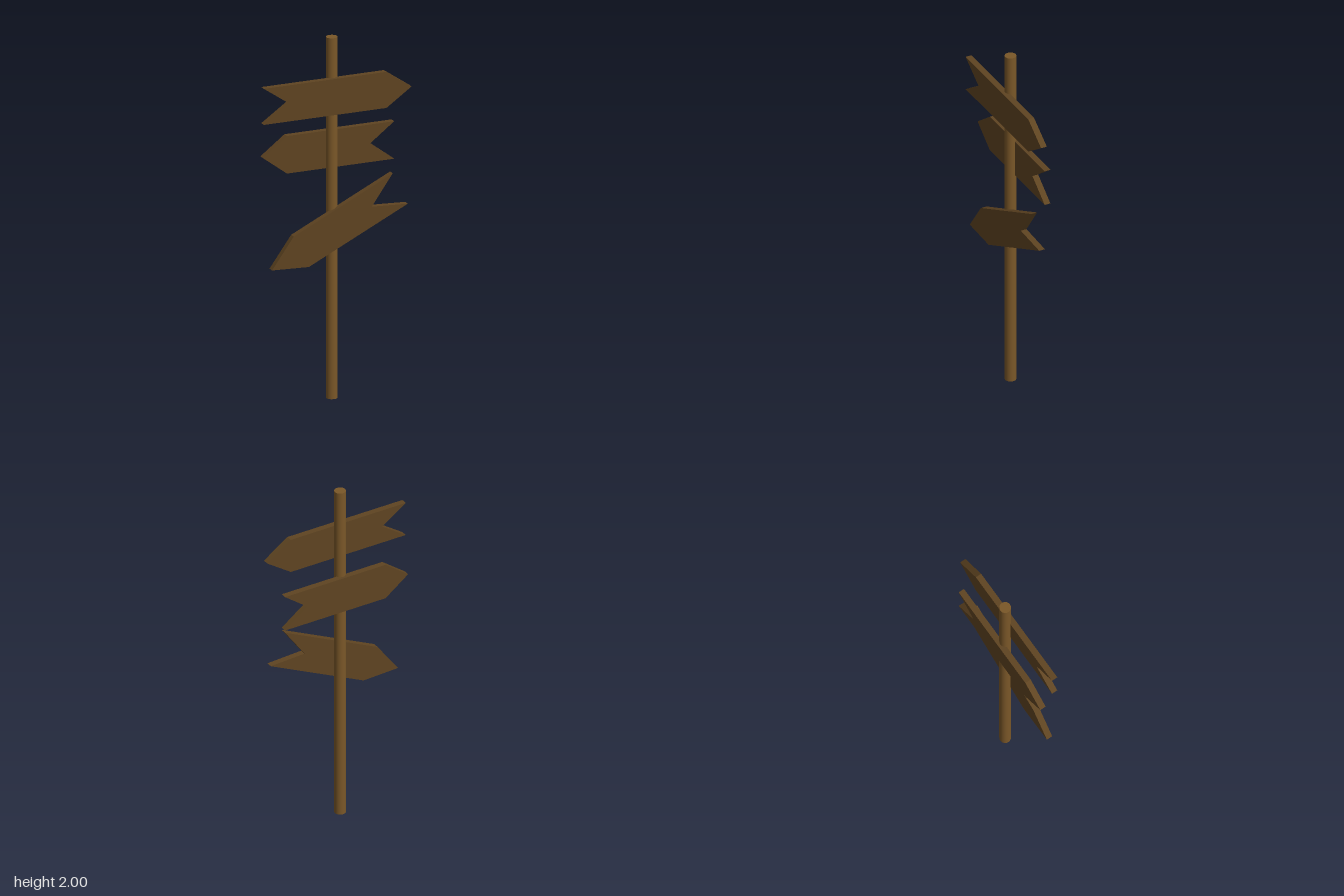
import * as THREE from 'three';

const poleMaterial = new THREE.MeshStandardMaterial({ color: 0x7a5728 });
const boardMaterial = new THREE.MeshStandardMaterial({ color: 0x5f4421 });

// Arrow board pointing along +x, with a swallowtail notch at the other end
function arrowBoard({ name, length, height, tip, notch, depth, position, angle }) {
  const l = length / 2;
  const h = height / 2;
  const shape = new THREE.Shape([
    [-l, -h], [l - tip, -h], [l, 0], [l - tip, h], [-l, h], [-l + notch, 0],
  ].map(([x, y]) => new THREE.Vector2(x, y)));
  const geometry = new THREE.ExtrudeGeometry(shape, { depth, bevelEnabled: false });
  geometry.translate(0, 0, -depth / 2);
  const mesh = new THREE.Mesh(geometry, boardMaterial);
  mesh.name = name;
  mesh.position.set(...position);
  mesh.rotation.z = angle;
  return mesh;
}

export function createModel() {
  const group = new THREE.Group();
  group.name = 'signpost';

  // Round post
  const pole = new THREE.Mesh(new THREE.CylinderGeometry(0.031, 0.031, 2, 32), poleMaterial);
  pole.name = 'pole';
  pole.position.set(-0.013, 1, 0.004 - 0.004);
  group.add(pole);

  // Boards: two on the front of the post, one on the back
  const frontZ = 0.028;
  const backZ = -0.032;
  const boards = [
    { name: 'topBoard', length: 0.85, height: 0.2, tip: 0.145, notch: 0.145,
      position: [0, 1.68, frontZ], angle: 0 },
    { name: 'middleBoard', length: 0.755, height: 0.208, tip: 0.138, notch: 0.138,
      position: [-0.026, 1.375, backZ], angle: Math.PI },
    { name: 'tiltedBoard', length: 0.819, height: 0.2, tip: 0.187, notch: 0.182,
      position: [-0.009, 0.945, frontZ], angle: Math.PI + 0.45 },
  ];
  for (const board of boards) group.add(arrowBoard({ ...board, depth: 0.034 }));

  // Post sits slightly behind the middle of the boards
  pole.position.z = 0.0;
  pole.position.z -= 0.004;
  return group;
}
